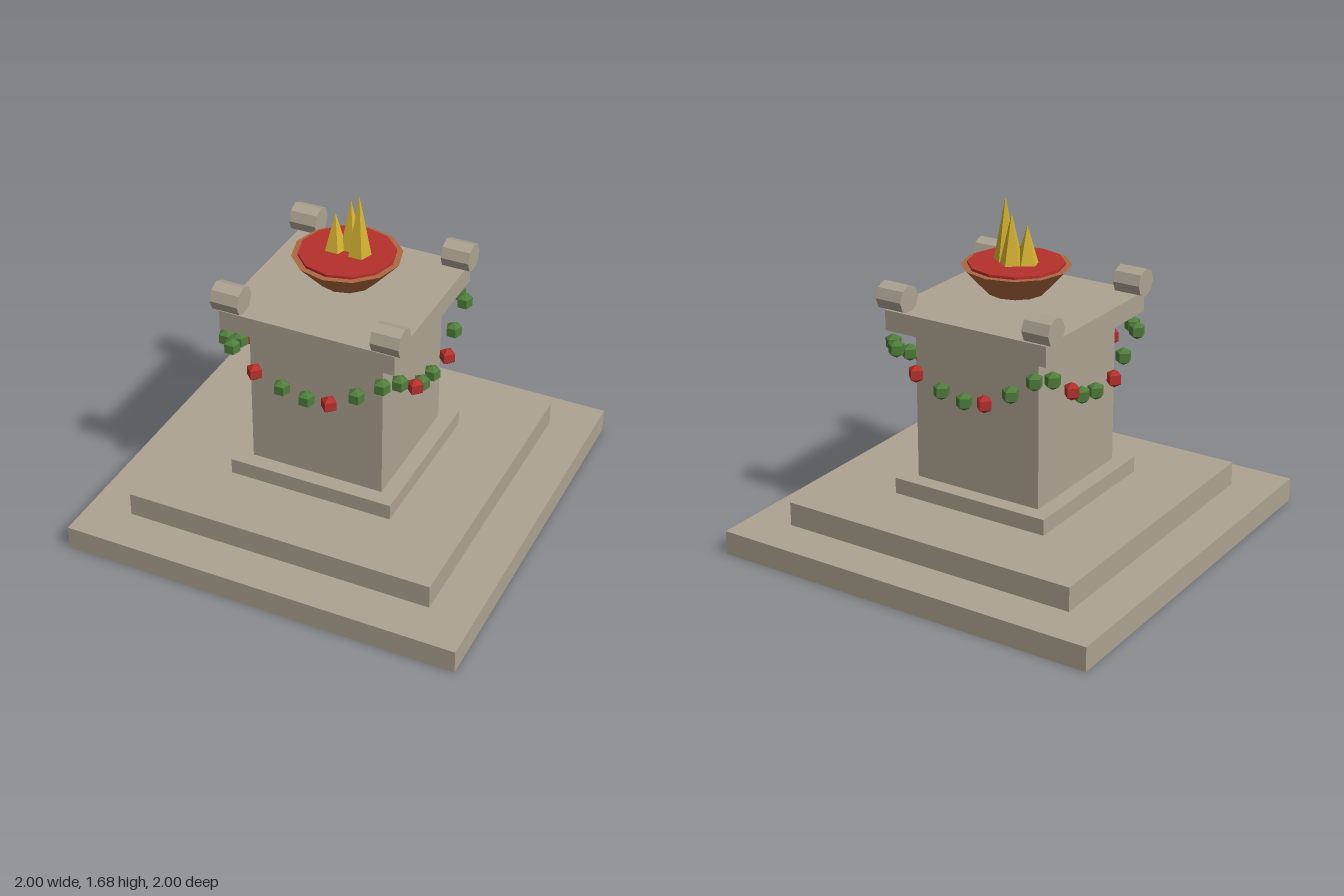
import * as THREE from 'three';

const mat = (name, color) => {
  const m = new THREE.MeshStandardMaterial({ color, flatShading: true });
  m.name = name;
  return m;
};

export function createModel() {
  const stone = mat('stone', 0xaca391);
  const clay = mat('clay', 0xac673f);
  const red = mat('red', 0xb5302b);
  const green = mat('leaf green', 0x4f7d3b);
  const gold = mat('flame gold', 0xd4b232);

  const model = new THREE.Group();
  model.name = 'altar';
  const add = (name, geometry, material, x, y, z, parent = model) => {
    const mesh = new THREE.Mesh(geometry, material);
    mesh.name = name;
    mesh.position.set(x, y, z);
    parent.add(mesh);
    return mesh;
  };

  // Stacked square masonry: name, width, bottom, top
  const blocks = [
    ['lowerStep', 2, 0, 0.12],
    ['upperStep', 1.56, 0.12, 0.24],
    ['plinth', 0.84, 0.24, 0.32],
    ['shaft', 0.68, 0.32, 1.08],
    ['capSlab', 0.88, 1.08, 1.18],
  ];
  for (const [name, w, y0, y1] of blocks) {
    add(name, new THREE.BoxGeometry(w, y1 - y0, w), stone, 0, (y0 + y1) / 2, 0);
  }

  // Corner rolls lying along x
  const roll = new THREE.CylinderGeometry(0.07, 0.07, 0.14, 8).rotateZ(Math.PI / 2);
  for (const x of [-0.4, 0.4]) {
    for (const z of [-0.4, 0.4]) add('cornerRoll', roll, stone, x, 1.24, z);
  }

  // Fire bowl with its bed of embers
  add('bowl', new THREE.CylinderGeometry(0.26, 0.14, 0.13, 12), clay, 0, 1.295, 0);
  add('embers', new THREE.CylinderGeometry(0.23, 0.23, 0.02, 12), red, 0, 1.363, 0);

  // Flames: x, z, tip height
  for (const [x, z, tip] of [[-0.06, 0, 1.56], [0, -0.04, 1.62], [0.06, 0, 1.68]]) {
    const h = tip - 1.36;
    add('flame', new THREE.ConeGeometry(0.06, h, 5).rotateY(Math.PI), gold, x, 1.36 + h / 2, z);
  }

  // Garlands sagging along each of the four sides
  const leaf = new THREE.SphereGeometry(0.045, 5, 3).rotateY(-Math.PI / 2);
  const berry = new THREE.SphereGeometry(0.045, 4, 3);
  const up = new THREE.Vector3(0, 1, 0);
  for (let side = 0; side < 4; side++) {
    const garland = new THREE.Group();
    garland.name = 'garland';
    model.add(garland);
    for (let i = 0; i < 7; i++) {
      const t = i / 6;
      const isBerry = i % 3 === 1;
      const p = new THREE.Vector3(-0.38 + 0.76 * t, 1 - 0.18 * Math.sin(Math.PI * t), isBerry ? 0.463 : 0.44);
      p.applyAxisAngle(up, side * Math.PI / 2);
      add(isBerry ? 'berry' : 'leafBead', isBerry ? berry : leaf, isBerry ? red : green, p.x, p.y, p.z, garland);
    }
  }
  return model;
}
